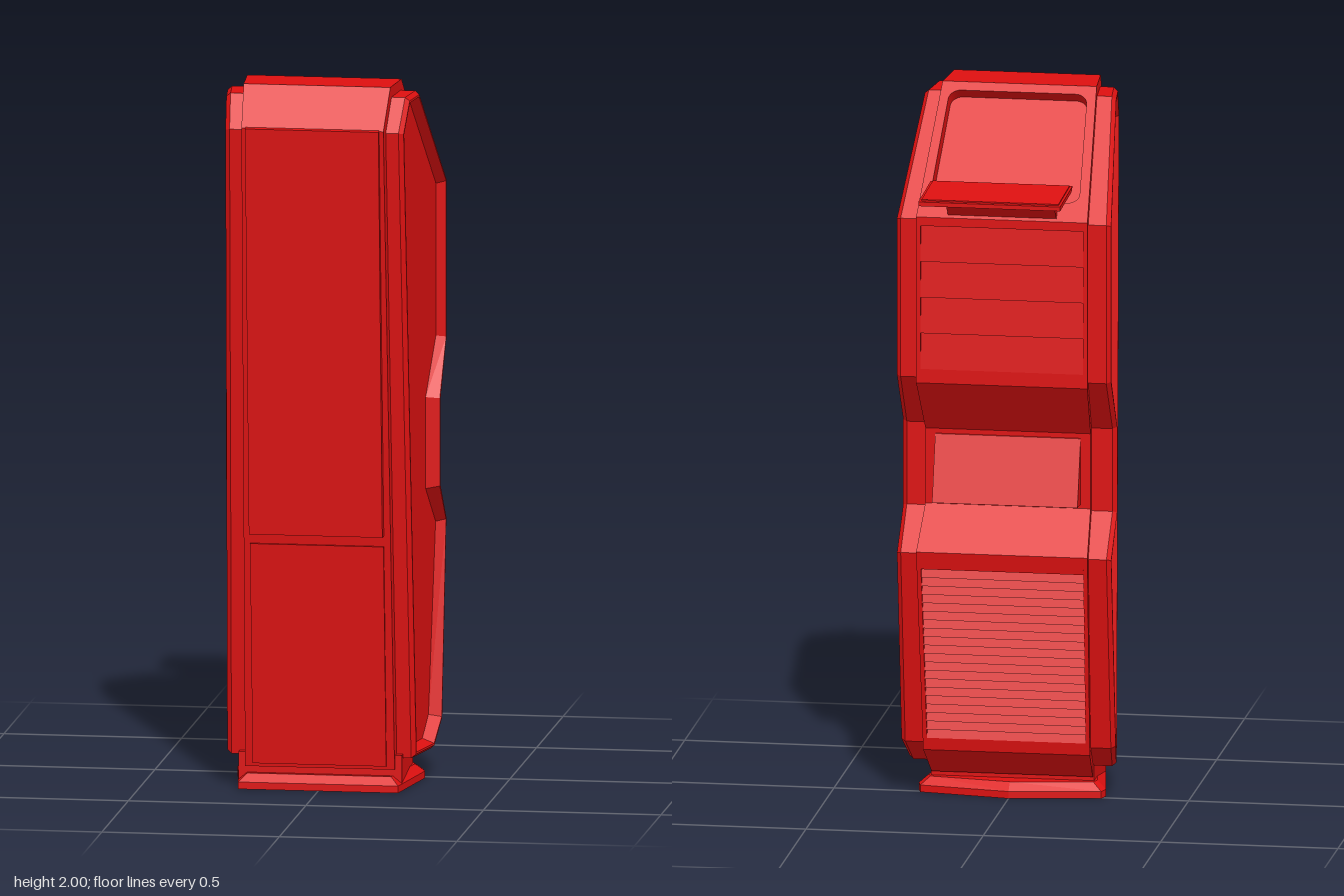
import * as THREE from 'three';

const RED = new THREE.MeshStandardMaterial({ color: 0xdd1010, flatShading: true });

// Half-widths, widening towards the back: body, raised side rims, recessed side faces
const coreWidth = z => 0.2 + 0.076 * (0.376 - z);
const faceWidth = z => 0.225 + 0.11 * (0.345 - z);
const rimWidth = z => z > 0.1 ? 0.25 + 0.11 * (0.345 - z) : Math.min(0.302, 0.277 + 0.21 * (0.1 - z));

const shapeOf = pts => new THREE.Shape(pts.map(p => new THREE.Vector2(p[0], p[1])));

// Extrude a [z, y] profile along x from x0 to x1
function slab(profile, x0, x1) {
  const g = new THREE.ExtrudeGeometry(shapeOf(profile), { depth: x1 - x0, bevelEnabled: false });
  return g.rotateY(-Math.PI / 2).translate(x1, 0, 0);
}

// Scale x from the base half-width to the body's width at each z
function taper(g) {
  const p = g.attributes.position;
  for (let i = 0; i < p.count; i++) p.setX(i, p.getX(i) * coreWidth(p.getZ(i)) / 0.2);
  g.computeVertexNormals();
  return g;
}

// Sawtooth slats running down the back from a to b
function slats(a, b, n, depth) {
  const at = t => [a[0] + (b[0] - a[0]) * t, a[1] + (b[1] - a[1]) * t];
  const pts = [at(0)];
  for (let i = 0; i < n; i++) {
    const s = at(i / n);
    pts.push([s[0] + depth, s[1] - 0.001], at((i + 1) / n));
  }
  return pts;
}

// Move every edge of a counter-clockwise outline inwards by d
function inset(pts, d) {
  const n = pts.length;
  const inward = i => {
    const a = pts[i % n], b = pts[(i + 1) % n];
    const l = Math.hypot(b[0] - a[0], b[1] - a[1]);
    return [(a[1] - b[1]) / l, (b[0] - a[0]) / l];
  };
  return pts.map((p, i) => {
    const u = inward(i + n - 1), v = inward(i);
    const k = d / (1 + u[0] * v[0] + u[1] * v[1]);
    return [p[0] + k * (u[0] + v[0]), p[1] + k * (u[1] + v[1])];
  });
}

// Side panel: inset loops rising to a rim, then dropping to a recessed face
function sidePanel(outline, side) {
  const loops = [
    [0.03, z => coreWidth(z) - 0.02],
    [0.03, z => rimWidth(z) - 0.012],
    [0.04, rimWidth],
    [0.046, rimWidth],
    [0.06, faceWidth],
  ].map(([d, width]) => inset(outline, d).map(([z, y]) => [side * width(z), y, z]));
  const positions = [];
  const tri = (a, b, c) => positions.push(...a, ...(side > 0 ? c : b), ...(side > 0 ? b : c));
  for (let k = 0; k + 1 < loops.length; k++) {
    const a = loops[k], b = loops[k + 1];
    a.forEach((_, i) => {
      const j = (i + 1) % a.length;
      tri(a[i], a[j], b[j]);
      tri(a[i], b[j], b[i]);
    });
  }
  const face = loops[loops.length - 1];
  const flat = face.map(p => new THREE.Vector2(p[2], p[1]));
  for (const [a, b, c] of THREE.ShapeUtils.triangulateShape(flat, [])) tri(face[a], face[b], face[c]);
  const g = new THREE.BufferGeometry();
  g.setAttribute('position', new THREE.Float32BufferAttribute(positions, 3));
  g.computeVertexNormals();
  return g;
}

export function createModel() {
  const group = new THREE.Group();
  const add = (name, geometry) => {
    const mesh = new THREE.Mesh(geometry, RED);
    mesh.name = name;
    group.add(mesh);
  };

  // Profile corners, [z, y]
  const front = [[0.016, 0.055], [0.237, 0.06], [0.378, 1.89], [0.29, 2.0]];
  const slopeTop = [0.15, 2.0], slopeEnd = [-0.17, 1.685];
  const back = [[-0.17, 1.21], [-0.058, 1.055], [-0.058, 0.84], [-0.17, 0.725]];
  const heel = [-0.085, 0.14];

  // The sloped face sits lower in the body; the screen bezel fills the step
  const dz = slopeTop[0] - slopeEnd[0], dy = slopeTop[1] - slopeEnd[1];
  const len = Math.hypot(dz, dy);
  const up = new THREE.Vector3(0, dy / len, dz / len);
  const normal = new THREE.Vector3(0, dz / len, -dy / len);
  const sink = 0.036;
  const lower = p => [p[0] - normal.z * sink, p[1] - normal.y * sink];
  const slope = [slopeTop, lower(slopeTop), lower(slopeEnd), slopeEnd];

  // Body rims left and right, with the slatted centre between them
  const rim = [...front, ...slope, ...back, heel];
  const centre = [...front, ...slope,
    ...slats([-0.17, 1.66], [-0.17, 1.25], 4, 0.009), ...back,
    ...slats([-0.163, 0.675], [-0.09, 0.175], 20, 0.011), heel];
  add('bodyCentre', taper(slab(centre, -0.19, 0.19)));
  add('leftRim', taper(slab(rim, 0.19, 0.2)));
  add('rightRim', taper(slab(rim, -0.2, -0.19)));

  // Side panels
  const outline = [...front, slopeTop, slopeEnd, ...back, heel];
  add('leftSidePanel', sidePanel(outline, 1));
  add('rightSidePanel', sidePanel(outline, -1));

  // Screen bezel with a rounded opening
  const bezel = shapeOf([[-0.2, 0], [0.2, 0], [0.2, len], [-0.2, len]]);
  const hole = new THREE.Path();
  const w = 0.177, y0 = 0.063, y1 = len - 0.028, r = 0.03;
  hole.absarc(w - r, y0 + r, r, -Math.PI / 2, 0);
  hole.absarc(w - r, y1 - r, r, 0, Math.PI / 2);
  hole.absarc(r - w, y1 - r, r, Math.PI / 2, Math.PI);
  hole.absarc(r - w, y0 + r, r, Math.PI, Math.PI * 1.5);
  hole.closePath();
  bezel.holes.push(hole);
  const plate = new THREE.ExtrudeGeometry(bezel, { depth: sink, bevelEnabled: false, curveSegments: 6 });
  const basis = new THREE.Matrix4().makeBasis(new THREE.Vector3(-1, 0, 0), up, normal);
  const [lz, ly] = lower(slopeEnd);
  plate.applyMatrix4(basis.setPosition(0, ly, lz));
  add('screenBezel', taper(plate));

  // Front panels
  add('upperFrontPanel', slab([[0.27, 0.73], [0.317, 0.73], [0.391, 1.89], [0.36, 1.895]], -0.188, 0.188));
  add('lowerFrontPanel', slab([[0.22, 0.07], [0.245, 0.07], [0.295, 0.7], [0.27, 0.7]], -0.188, 0.188));

  // Sloping console in the notch at the back
  add('console', slab([[-0.04, 1.05], [-0.06, 1.04], [-0.117, 0.855], [-0.04, 0.85]], -0.205, 0.205));

  // Visor over the screen and its bent arm
  add('visorArm', slab([[-0.13, 1.69], [-0.16, 1.69], [-0.22, 1.75], [-0.228, 1.785],
    [-0.206, 1.785], [-0.203, 1.76], [-0.14, 1.7]], -0.153, 0.153));
  add('visor', slab([[-0.172, 1.79], [-0.394, 1.782], [-0.394, 1.77], [-0.19, 1.777]], -0.2, 0.2));
  add('visorInlay', slab([[-0.18, 1.793], [-0.38, 1.786], [-0.38, 1.778], [-0.18, 1.785]], -0.193, 0.193));

  // Neck and foot plate with a shallow point at the back
  add('neck', slab([[0.025, 0.02], [0.232, 0.02], [0.232, 0.1], [0.025, 0.1]], -0.23, 0.23));
  const foot = depth => new THREE.ExtrudeGeometry(
    shapeOf([[-0.225, -0.27], [0.225, -0.27], [0.264, -0.02], [0.255, 0.01],
      [0, 0.05], [-0.255, 0.01], [-0.264, -0.02]]),
    { depth, bevelEnabled: false }).rotateX(-Math.PI / 2);
  add('footPlate', foot(0.02));
  const top = foot(0.022);
  const p = top.attributes.position;
  for (let i = 0; i < p.count; i++) if (p.getY(i) > 0.01)
    p.setXYZ(i, p.getX(i) * 0.9, p.getY(i), 0.12 + (p.getZ(i) - 0.12) * 0.85);
  top.computeVertexNormals();
  add('footBevel', top.translate(0, 0.02, 0));

  return group;
}
